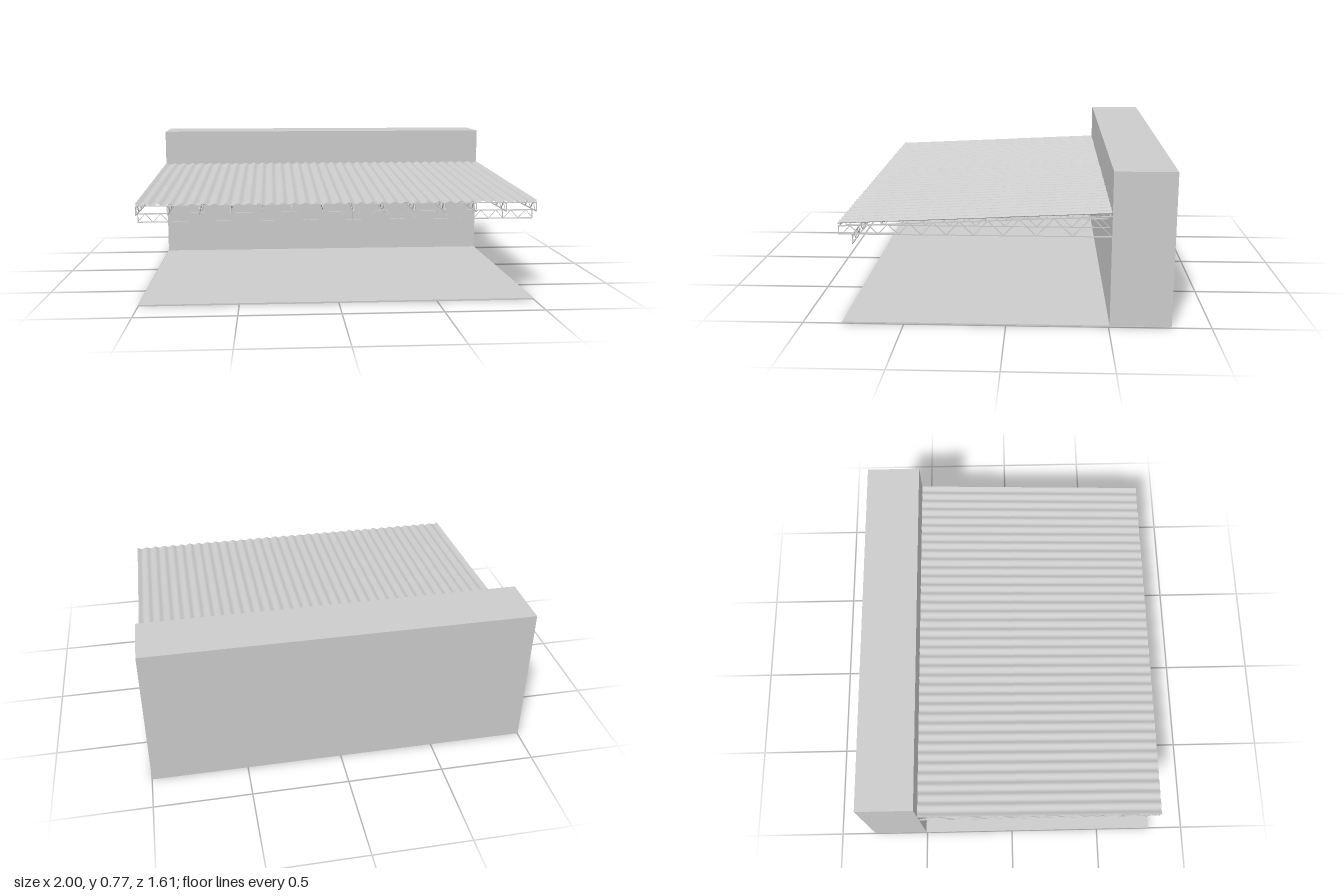
import * as THREE from 'three';

const material = new THREE.MeshStandardMaterial({ color: 0xcccccc });
const sheetMaterial = new THREE.MeshStandardMaterial({ color: 0xcccccc, side: THREE.DoubleSide });

const FRONT = 0.805, WALL = -0.505;
const BOTTOM_CHORD = 0.458;
// Height of the sloping top chord at a given depth
const topChord = z => THREE.MathUtils.mapLinear(z, FRONT, WALL, 0.497, 0.558);

function box(name, w, h, d, x, y, z) {
  const mesh = new THREE.Mesh(new THREE.BoxGeometry(w, h, d), material);
  mesh.position.set(x, y, z);
  mesh.name = name;
  return mesh;
}

// Square bar between two points
function bar(name, a, b, size = 0.004) {
  const from = new THREE.Vector3(...a), to = new THREE.Vector3(...b);
  const mesh = new THREE.Mesh(new THREE.BoxGeometry(size, size, from.distanceTo(to)), material);
  mesh.position.copy(from).add(to).multiplyScalar(0.5);
  mesh.lookAt(to);
  mesh.name = name;
  return mesh;
}

// Corrugated sheet following the roof slope
function corrugatedSheet(name, zBack, zFront, lift) {
  const waves = 36;
  const geometry = new THREE.PlaneGeometry(2, zFront - zBack, waves * 8, 6);
  geometry.rotateX(-Math.PI / 2).translate(0, 0, (zBack + zFront) / 2);
  const p = geometry.attributes.position;
  for (let i = 0; i < p.count; i++) {
    const wave = 0.005 * Math.cos(p.getX(i) * Math.PI * waves);
    p.setY(i, topChord(p.getZ(i)) + 0.011 + lift + wave);
  }
  geometry.computeVertexNormals();
  const mesh = new THREE.Mesh(geometry, sheetMaterial);
  mesh.name = name;
  return mesh;
}

// Tapering roof truss with 45 degree webs that shrink towards the front
function roofTruss(x) {
  const truss = new THREE.Group();
  truss.name = 'roofTruss';
  const end = FRONT - 0.005;
  truss.add(
    bar('topChord', [x, topChord(WALL), WALL], [x, topChord(end), end], 0.005),
    bar('bottomChord', [x, BOTTOM_CHORD, WALL], [x, BOTTOM_CHORD, end], 0.005),
    bar('endPost', [x, BOTTOM_CHORD, end - 0.002], [x, topChord(end), end - 0.002])
  );
  let z = WALL, up = true;
  while (z < end - 0.02) {
    const next = Math.min(z + 0.96 * (topChord(z) - BOTTOM_CHORD), end);
    const y0 = up ? BOTTOM_CHORD : topChord(z);
    const y1 = up ? topChord(next) : BOTTOM_CHORD;
    truss.add(bar('web', [x, y0, z], [x, y1, next]));
    z = next;
    up = !up;
  }
  return truss;
}

// Shallow lattice girder hanging below the front of the trusses
function frontGirder() {
  const girder = new THREE.Group();
  girder.name = 'frontGirder';
  const z = 0.733, low = 0.412, high = 0.454, panels = 52;
  girder.add(box('topChord', 2, 0.005, 0.005, 0, high, z),
    box('bottomChord', 2, 0.005, 0.005, 0, low, z));
  for (let i = 0; i < panels; i++) {
    const x0 = -1 + 2 * i / panels, x1 = -1 + 2 * (i + 1) / panels;
    girder.add(bar('web', [x0, i % 2 ? high : low, z], [x1, i % 2 ? low : high, z], 0.003));
  }
  for (let i = 0; i <= 13; i++)
    girder.add(box('post', 0.004, high - low, 0.004, -0.997 + 1.994 * i / 13, (low + high) / 2, z));
  return girder;
}

export function createModel() {
  const model = new THREE.Group();
  model.name = 'canopyBuilding';

  // Wall block and ground slab
  model.add(box('building', 2, 0.77, 0.3, 0, 0.39, -0.655),
    box('floor', 2, 0.008, FRONT - WALL, 0, 0.004, (FRONT + WALL) / 2));

  // Roof frame
  const frame = new THREE.Group();
  frame.name = 'roofFrame';
  for (let i = 0; i <= 13; i++) frame.add(roofTruss(-0.997 + 1.994 * i / 13));
  for (let i = 0; i < 14; i++) {
    const z = WALL + 0.01 + i * (FRONT - WALL - 0.025) / 13;
    frame.add(box('purlin', 2, 0.005, 0.006, 0, topChord(z) + 0.004, z));
  }
  frame.add(frontGirder());
  model.add(frame);

  // Two overlapping corrugated sheets
  model.add(corrugatedSheet('rearRoofSheet', WALL, 0.025, 0.001),
    corrugatedSheet('frontRoofSheet', 0.0, FRONT, 0));
  return model;
}
